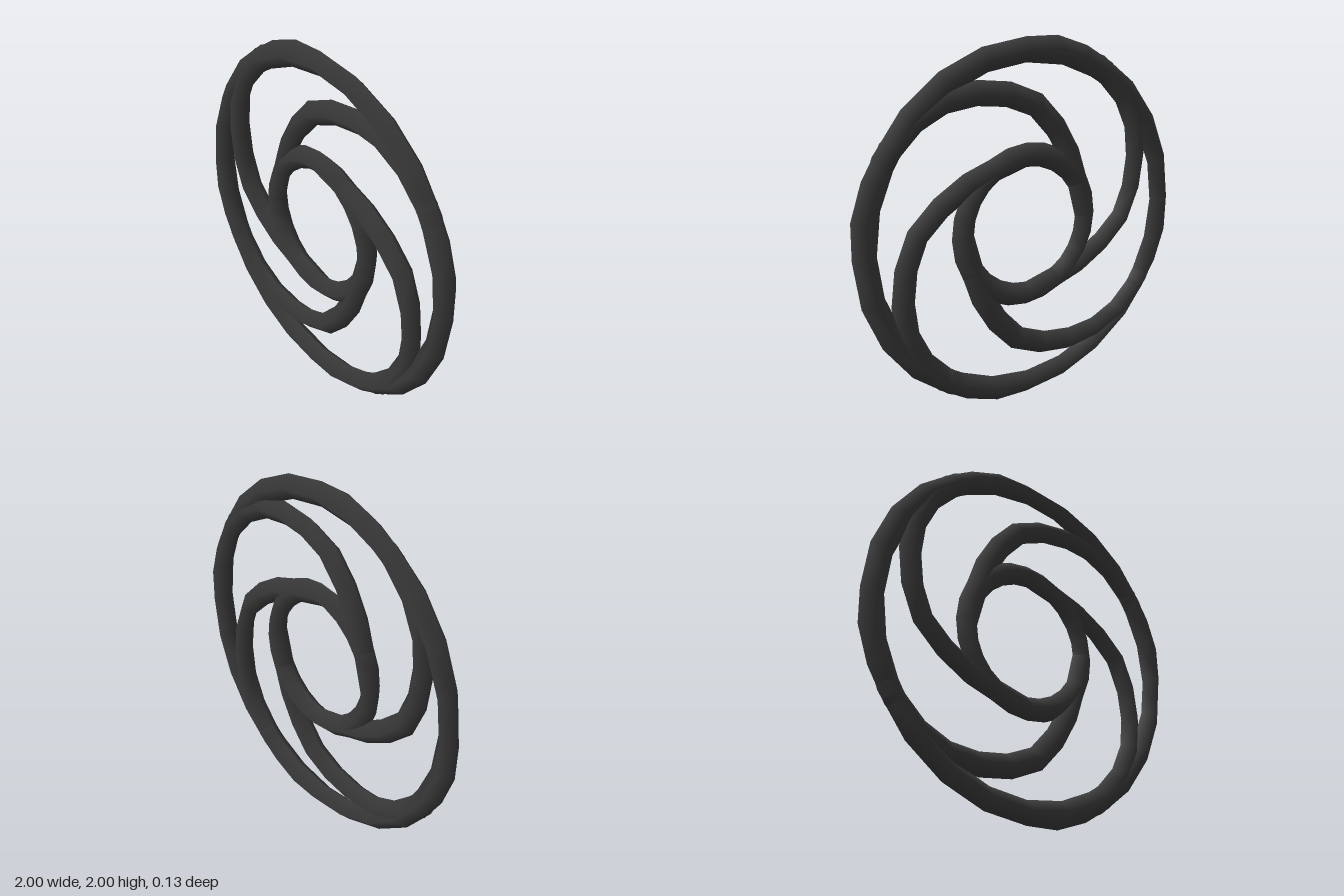
import * as THREE from 'three';

export function createModel() {
  const model = new THREE.Group();
  model.name = 'swirlMedallion';
  const material = new THREE.MeshStandardMaterial({ color: 0x3a3a3a });
  const tube = 0.065;
  const outerRadius = 0.935;
  const innerRadius = 0.39;

  const add = (name, geometry, turn = 0) => {
    const mesh = new THREE.Mesh(geometry, material);
    mesh.name = name;
    mesh.position.y = 1;
    mesh.rotation.z = turn;
    model.add(mesh);
  };

  // Concentric rings with a diamond section
  add('outerRing', new THREE.TorusGeometry(outerRadius, tube, 4, 24));
  add('innerRing', new THREE.TorusGeometry(innerRadius, tube, 4, 24));

  // Spiral arm: leaves the inner ring at the top, sweeps clockwise into the outer ring
  const path = [
    [0, innerRadius], [0.2, 0.335], [0.37, 0.275], [0.53, 0.175], [0.65, 0.06],
    [0.717, -0.1], [0.743, -0.31], [0.715, -0.5], [0.63, -0.66], [0.51, -0.78],
    [0.36, -0.87], [0.19, -0.93], [0, -outerRadius],
  ].map(([x, y]) => new THREE.Vector3(x, y, 0));
  const armGeometry = new THREE.TubeGeometry(new THREE.CatmullRomCurve3(path), 12, tube, 4);

  // Four arms, a quarter turn apart
  for (let i = 0; i < 4; i++) add(`spiralArm${i + 1}`, armGeometry, (i * Math.PI) / 2);

  return model;
}
